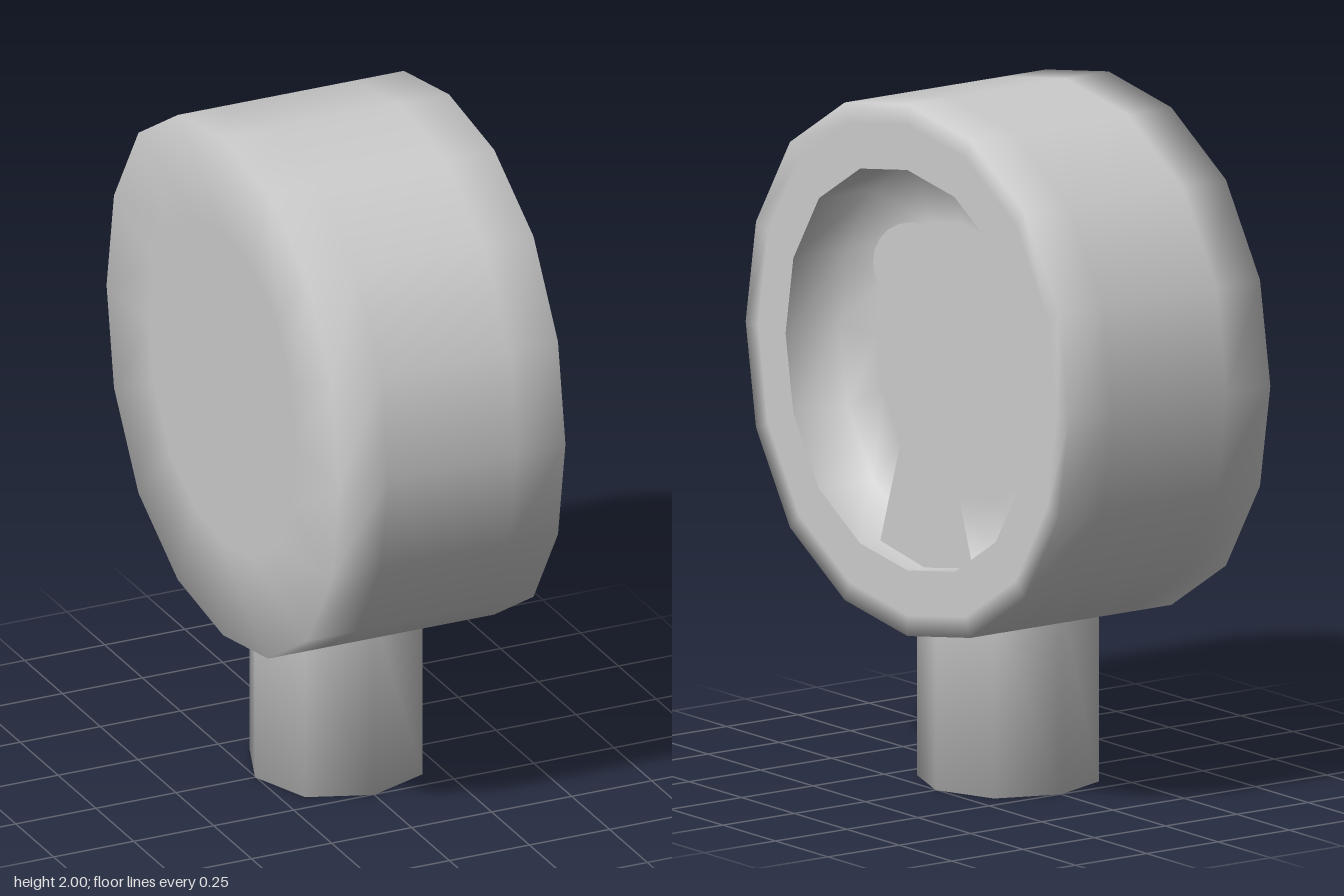
import * as THREE from 'three';

const AXIS_Y = 1.23; // height of the drum's axis
const HALF = 0.353; // half the drum's thickness
const FLOOR = HALF - 0.19; // level of the recess floor

// Lathed part whose outline bulges slightly between the four axis directions
function lathe(profile, sides, material, name) {
  const points = profile.map(([r, y]) => new THREE.Vector2(r, y));
  const geometry = new THREE.LatheGeometry(points, sides);
  const position = geometry.attributes.position;
  for (let i = 0; i < position.count; i++) {
    const x = position.getX(i);
    const z = position.getZ(i);
    const bulge = 1 + 0.013 * (1 - Math.cos(4 * Math.atan2(z, x)));
    position.setXYZ(i, x * bulge, position.getY(i), z * bulge);
  }
  const mesh = new THREE.Mesh(geometry, material);
  mesh.name = name;
  return mesh;
}

export function createModel() {
  const model = new THREE.Group();
  model.name = 'gauge';
  const grey = new THREE.MeshStandardMaterial({ color: 0xcccccc, side: THREE.DoubleSide });
  grey.name = 'light grey';

  // Drum lying on its side, dial towards +x
  const drum = new THREE.Group();
  drum.name = 'drum';
  drum.position.y = AXIS_Y;
  drum.rotation.z = -Math.PI / 2;
  drum.add(
    lathe([
      [0, -HALF], [0.48, -HALF], [0.77, -HALF], [0.77, -0.2],
      [0.77, 0.2], [0.77, HALF], [0.71, HALF], [0.58, HALF],
    ], 16, grey, 'housing'),
    lathe([[0.58, HALF], [0.58, FLOOR], [0.4, FLOOR], [0, FLOOR]], 16, grey, 'recess'),
  );
  model.add(drum);

  // Keyhole-shaped pointer, a thin sheet in front of the recess floor
  const outline = new THREE.Shape();
  outline.moveTo(-0.21, 0.69);
  outline.lineTo(-0.03, 1.255);
  outline.lineTo(-0.2, 1.41);
  outline.bezierCurveTo(-0.32, 1.51, -0.18, 1.645, 0, 1.645);
  outline.bezierCurveTo(0.18, 1.645, 0.32, 1.51, 0.2, 1.41);
  outline.lineTo(0.04, 1.255);
  outline.lineTo(0.23, 0.69);
  outline.lineTo(0, 0.65);
  outline.closePath();
  const pointer = new THREE.Mesh(new THREE.ShapeGeometry(outline, 8), grey);
  pointer.name = 'pointer';
  pointer.rotation.y = Math.PI / 2;
  pointer.position.x = HALF - 0.06;
  model.add(pointer);

  // Stem below the drum
  model.add(lathe([[0, 0], [0.253, 0], [0.253, 0.56]], 8, grey, 'stem'));

  return model;
}
